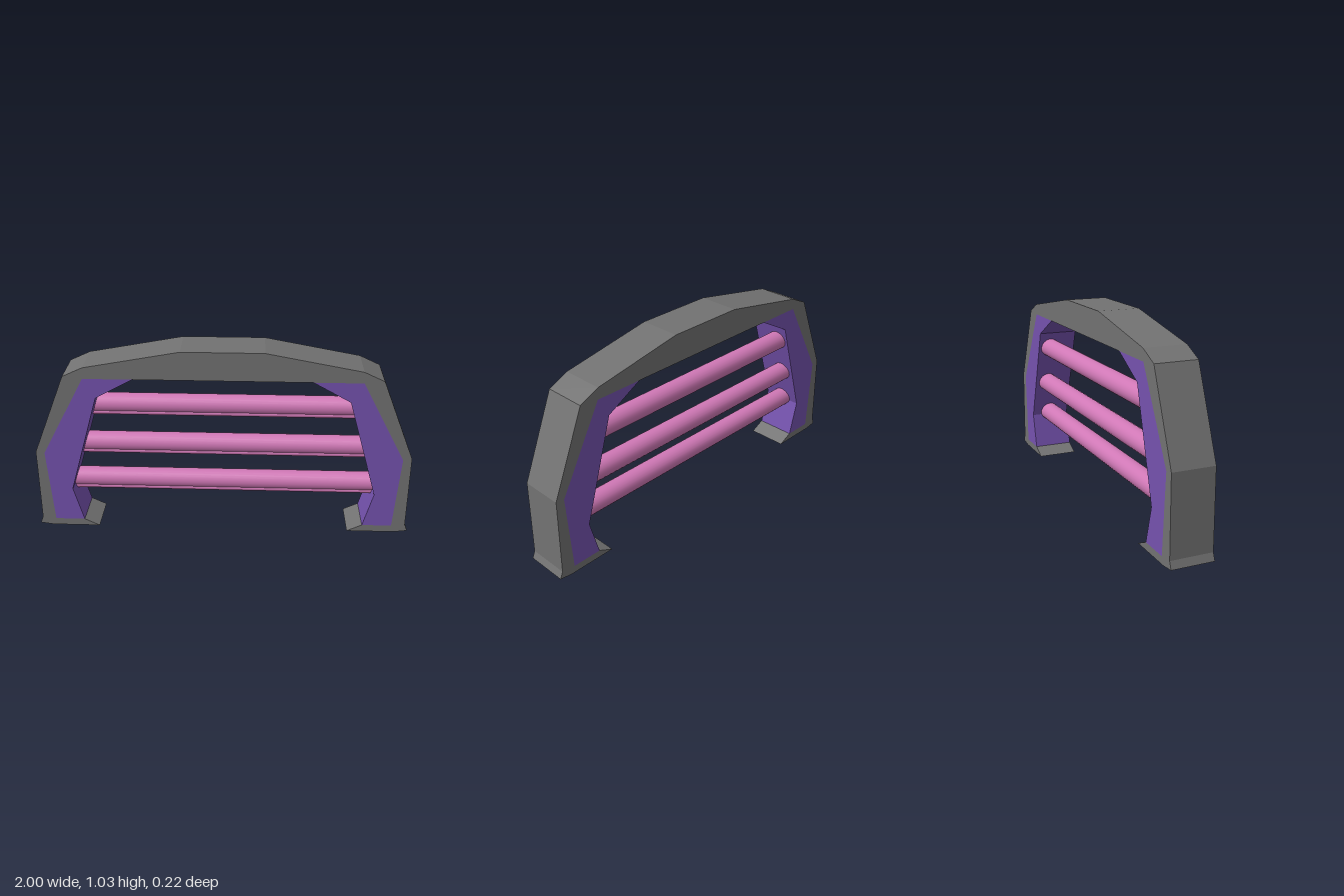
import * as THREE from 'three';

const DEPTH = 0.22;
const material = (color) => new THREE.MeshStandardMaterial({ color });

// Extrudes an outline in x/y, centred on z = 0
function plate(name, points, mat) {
  const shape = new THREE.Shape(points.map(([x, y]) => new THREE.Vector2(x, y)));
  const geometry = new THREE.ExtrudeGeometry(shape, { depth: DEPTH, bevelEnabled: false });
  geometry.translate(0, 0, -DEPTH / 2);
  const mesh = new THREE.Mesh(geometry, mat);
  mesh.name = name;
  return mesh;
}

// Round rod lying along x
function rod(name, radius, reach, y, z, mat) {
  const mesh = new THREE.Mesh(new THREE.CylinderGeometry(radius, radius, 2 * reach, 24), mat);
  mesh.name = name;
  mesh.rotation.z = Math.PI / 2;
  mesh.position.set(0, y, z);
  return mesh;
}

const mirror = (points) => points.map(([x, y]) => [-x, y]);

export function createModel() {
  const model = new THREE.Group();
  model.name = 'barredArch';
  const frameMat = material(0x727272);
  const insertMat = material(0x7552ae);
  const barMat = material(0xd078b6);

  // Arched frame with flared feet: left half, from top centre round to the inside
  const half = [
    [0.21, 1.026], [0.7, 0.935], [0.805, 0.886], [0.982, 0.453], [0.985, 0.048],
    [1, 0.01], [0.93, 0], [0.675, 0], [0.755, 0.039],
    [0.912, 0.039], [0.937, 0.445], [0.705, 0.875],
  ];
  model.add(plate('archFrame', [...half, ...mirror(half).reverse()], frameMat));

  // Inserts lining the inside of each leg
  const insert = [
    [0.755, 0.039], [0.912, 0.039], [0.937, 0.445], [0.705, 0.875],
    [0.452, 0.875], [0.645, 0.769], [0.805, 0.23],
  ];
  model.add(plate('leftInsert', insert, insertMat));
  model.add(plate('rightInsert', mirror(insert), insertMat));

  // Horizontal bars leaning back towards the top, each with a slim rib below,
  // their ends sunk into the inserts
  const bars = new THREE.Group();
  bars.name = 'bars';
  for (const [y, z, reach] of [[0.678, -0.042, 0.7], [0.452, -0.036, 0.77], [0.248, -0.006, 0.83]]) {
    bars.add(rod('bar', 0.053, reach, y, z, barMat));
    bars.add(rod('barRib', 0.015, reach, y - 0.04, z + 0.03, barMat));
  }
  model.add(bars);
  return model;
}
